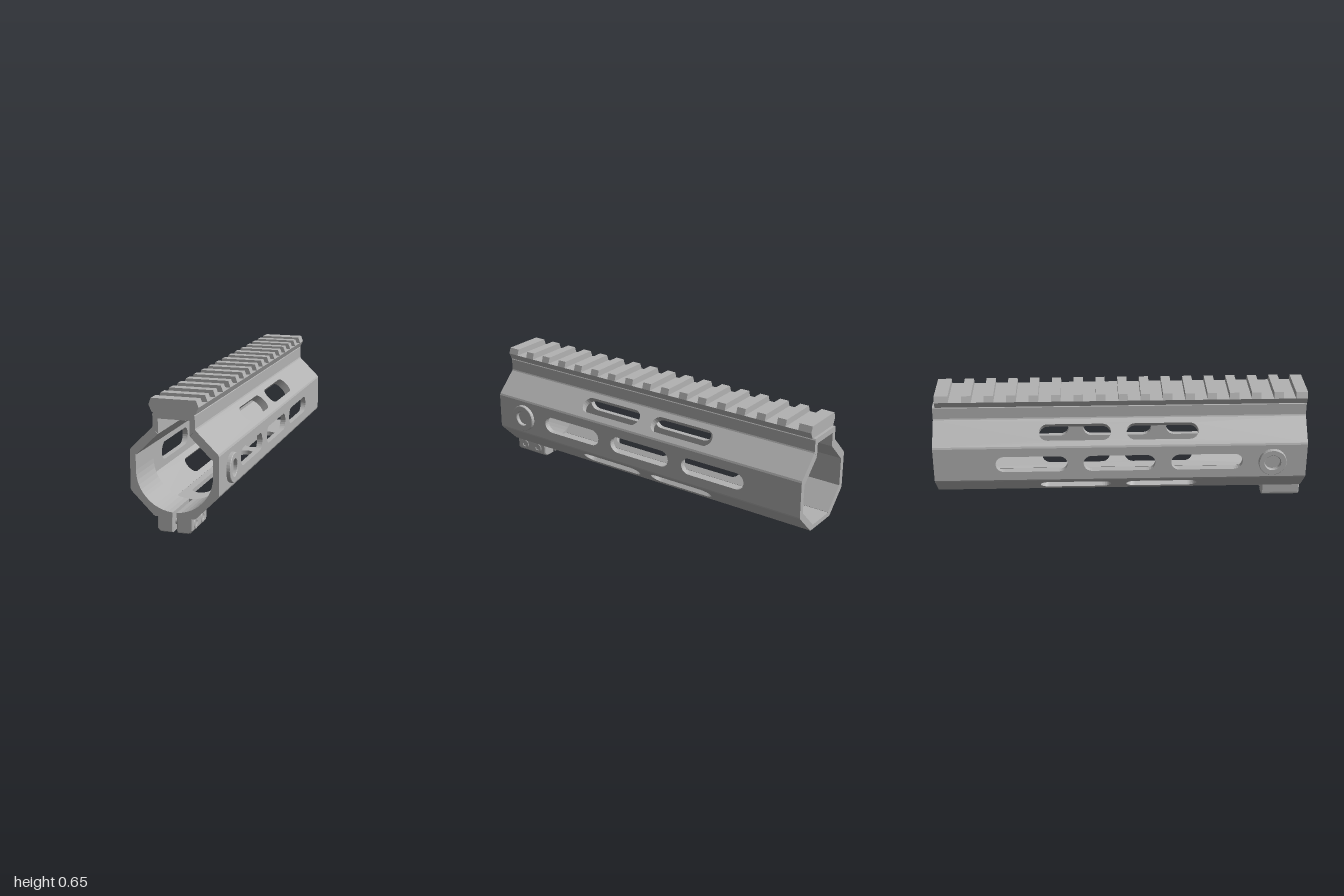
import * as THREE from 'three';

const metal = new THREE.MeshStandardMaterial({ color: 0xb2b2b2 });
metal.name = 'grey metal';

const toShape = pts => new THREE.Shape(pts.map(p => new THREE.Vector2(p[0], p[1])));
const mirrored = half => [...half, ...half.map(([x, y]) => [-x, y]).reverse()];

function add(group, name, geometry) {
  const mesh = new THREE.Mesh(geometry, metal);
  mesh.name = name;
  group.add(mesh);
  return mesh;
}

// cross-section in x/y, swept from z0 to z1
function sweep(pts, z0, z1) {
  const g = new THREE.ExtrudeGeometry(toShape(pts), { depth: z1 - z0, bevelEnabled: false });
  return g.translate(0, 0, z0);
}

// rounded slot outline, long axis along the second coordinate
function slot(cx, cy, length = 0.385, r = 0.046) {
  const path = new THREE.Path();
  const h = length / 2 - r;
  path.absarc(cx, cy + h, r, 0, Math.PI, false);
  path.absarc(cx, cy - h, r, Math.PI, Math.PI * 2, false);
  path.closePath();
  return path;
}

// flat wall plate between two profile points, thickness grows inward
function plate(a, b, thickness, slots = [], slit = 0) {
  const A = new THREE.Vector3(a[0], a[1], 0);
  const t = new THREE.Vector3(b[0], b[1], 0).sub(A);
  const len = t.length();
  t.normalize();
  const n = new THREE.Vector3(t.y, -t.x, 0);
  const m = len / 2;
  const front = slit ? [[m + 0.01, 1], [m + 0.01, slit], [m - 0.01, slit], [m - 0.01, 1]] : [];
  const shape = toShape([[0, -1], [len, -1], [len, 1], ...front, [0, 1]]);
  slots.forEach(z => shape.holes.push(slot(m, z)));
  const g = new THREE.ExtrudeGeometry(shape, { depth: thickness, bevelEnabled: false, curveSegments: 6 });
  g.translate(0, 0, -thickness);
  const basis = new THREE.Matrix4().makeBasis(t, new THREE.Vector3(0, 0, 1), n).setPosition(A);
  return g.applyMatrix4(basis);
}

// flat ring facing +x, with a round or hexagonal hole
function ring(outer, inner, depth, sides) {
  const shape = new THREE.Shape().absarc(0, 0, outer, 0, Math.PI * 2, false);
  const hole = [];
  for (let i = 0; i < sides; i++) {
    const a = i / sides * Math.PI * 2;
    hole.push(new THREE.Vector2(Math.cos(a) * inner, Math.sin(a) * inner));
  }
  shape.holes.push(new THREE.Path(hole));
  return new THREE.ExtrudeGeometry(shape, {
    depth: depth - 0.003, curveSegments: 16,
    bevelThickness: 0.003, bevelSize: 0.003, bevelOffset: -0.003, bevelSegments: 1
  }).rotateY(Math.PI / 2);
}

export function createModel() {
  const model = new THREE.Group();
  model.name = 'slottedTube';

  // faceted tube walls, with narrow chamfer strips between the main faces
  const three = [0.463, -0.007, -0.477];
  const two = [0.225, -0.243];
  const shell = new THREE.Group();
  shell.name = 'shell';
  model.add(shell);
  const right = [[0.098, 0.075], [0.106, 0.079], [0.217, 0.19], [0.222, 0.2],
    [0.222, 0.39], [0.218, 0.4], [0.108, 0.508]];
  const specs = [
    ['lowerEdge', 0.02, []], ['lowerWall', 0.034, two], ['sideLowerEdge', 0.02, []],
    ['sideWall', 0.029, three], ['sideUpperEdge', 0.02, []], ['upperWall', 0.041, two]];
  specs.forEach(([name, thick, slots], i) => {
    const [a, b] = [right[i], right[i + 1]];
    add(shell, name + 'Left', plate(a, b, thick, slots));
    add(shell, name + 'Right', plate([-b[0], b[1]], [-a[0], a[1]], thick, slots));
  });
  add(shell, 'bottomWall', plate([-0.098, 0.075], [0.098, 0.075], 0.025, three, 0.77));

  // raised channel under the rail
  add(shell, 'neckChannel', sweep([
    ...mirrored([[0.078, 0.553], [0.078, 0.479], [0.108, 0.508], [0.105, 0.515], [0.105, 0.576], [0.1, 0.583]])
  ], -1, 1));

  // toothed top rail
  const rail = new THREE.Group();
  rail.name = 'topRail';
  model.add(rail);
  add(rail, 'railBase', sweep(mirrored([[0.107, 0.582], [0.124, 0.617]]), -0.985, 1));
  const tooth = mirrored([[0.124, 0.617], [0.112, 0.65]]);
  add(rail, 'frontTooth', sweep(tooth, 0.937, 1));
  for (let i = 0; i < 15; i++) {
    const z = 0.845 - i * 0.1186;
    add(rail, 'tooth', sweep(tooth, z - 0.025, z + 0.025));
  }
  add(rail, 'rearTooth', sweep(tooth, -0.985, -0.912));

  // front clamp: rounded inner collar, split lugs and side bosses
  for (const s of [1, -1]) {
    const side = s > 0 ? 'Left' : 'Right';
    const collar = [[0.205, 0.293], [0.205, 0.205], [0.1, 0.09], [0.01, 0.09]];
    for (let i = 0; i <= 12; i++) {
      const a = THREE.MathUtils.degToRad(-87 + i * 7.25);
      collar.push([0.193 * Math.cos(a), 0.293 + 0.193 * Math.sin(a)]);
    }
    add(model, 'collar' + side, sweep(collar.map(([x, y]) => [x * s, y]), 0.77, 1));

    const lug = [[0.01, 0.08], [0.01, 0], [0.068, 0], [0.078, 0.004], [0.087, 0.015], [0.088, 0.025], [0.088, 0.08]];
    const lugGeometry = new THREE.ExtrudeGeometry(toShape(lug.map(([x, y]) => [x * s, y])), {
      depth: 0.2, bevelThickness: 0.005, bevelSize: 0.005, bevelOffset: -0.005, bevelSegments: 1
    });
    add(model, 'clampLug' + side, lugGeometry.translate(0, 0, 0.795));

    const boss = add(model, 'sideBoss' + side, ring(0.075, 0.042, 0.021, 32));
    boss.position.set(0.221 * s, 0.293, 0.815);
    if (s < 0) boss.rotation.y = Math.PI;
  }

  // clamp screws with hexagonal sockets
  for (const z of [0.948, 0.848]) {
    const head = add(model, 'screwHead', ring(0.03, 0.013, 0.005, 6));
    head.position.set(0.086, 0.043, z);
    const shank = new THREE.CylinderGeometry(0.016, 0.016, 0.16, 16).rotateZ(Math.PI / 2);
    add(model, 'screwShank', shank).position.set(0, 0.043, z);
  }
  return model;
}
